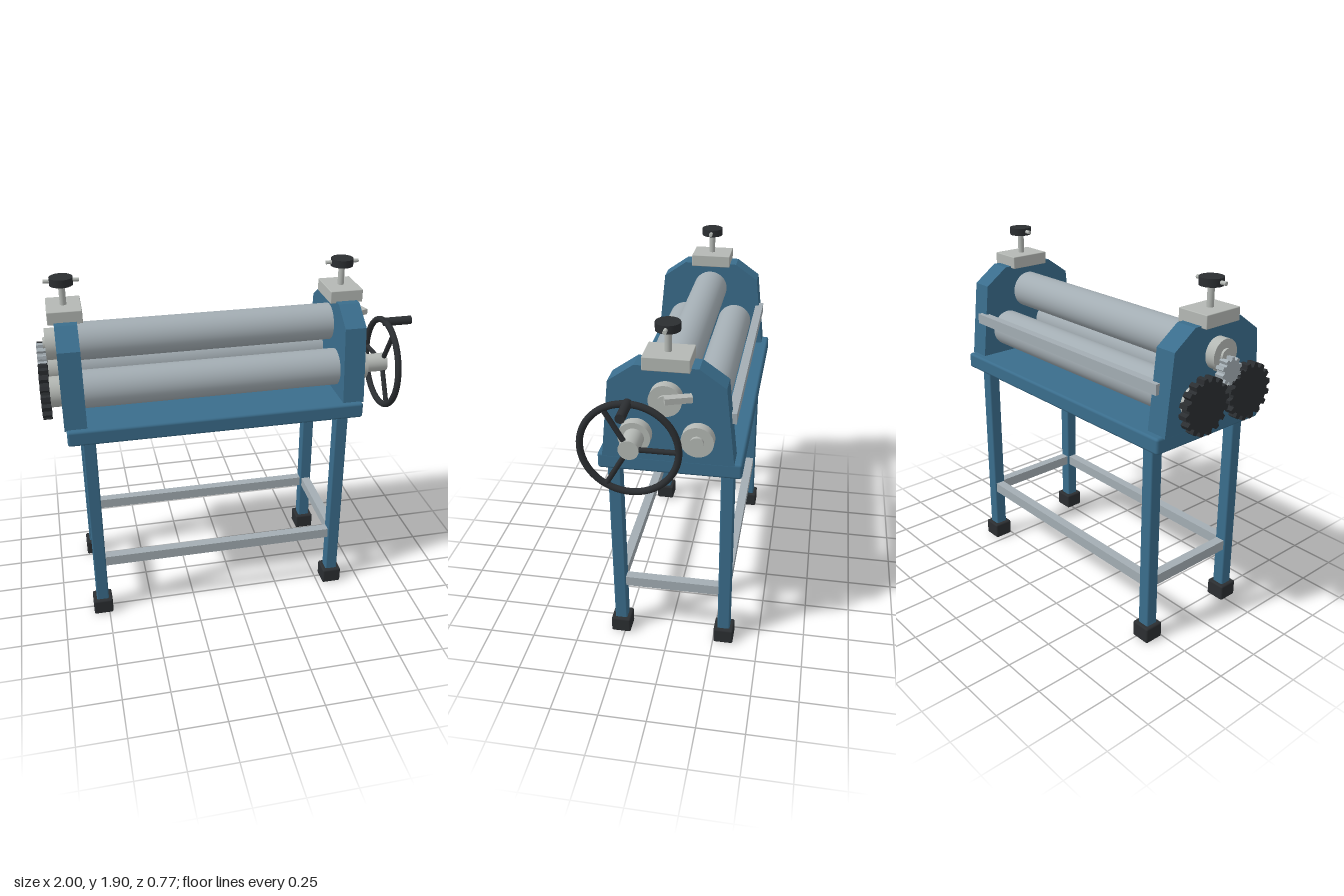
import * as THREE from 'three';
import { RoundedBoxGeometry } from 'three/addons/geometries/RoundedBoxGeometry.js';

const paint = new THREE.MeshStandardMaterial({ color: 0x3a6d8c });
const steel = new THREE.MeshStandardMaterial({ color: 0xa3adb3 });
const bright = new THREE.MeshStandardMaterial({ color: 0xb4b8b4 });
const dark = new THREE.MeshStandardMaterial({ color: 0x2b2e31 });

const MID_X = -0.1, MID_Z = -0.02;

export function createModel() {
  const root = new THREE.Group();
  root.name = 'slipRollMachine';

  const add = (name, geo, mat, x = 0, y = 0, z = 0, parent = root) => {
    const m = new THREE.Mesh(geo, mat);
    m.name = name;
    m.position.set(x, y, z);
    parent.add(m);
    return m;
  };
  const box = (name, mat, w, h, d, x, y, z, r = 0) =>
    add(name, r ? new RoundedBoxGeometry(w, h, d, 2, r) : new THREE.BoxGeometry(w, h, d), mat, x, y, z);
  // Cylinder lying along x from x0 to x1
  const rod = (name, mat, r, x0, x1, y, z, parent = root) =>
    add(name, new THREE.CylinderGeometry(r, r, x1 - x0, 40).rotateZ(Math.PI / 2), mat, (x0 + x1) / 2, y, z, parent);

  // Stand: table, legs, feet and lower braces
  box('table', paint, 1.58, 0.085, 0.72, MID_X, 1.163, -0.025, 0.014);
  const legX = [-0.782, 0.584], legZ = [0.271, -0.308];
  for (const x of legX) {
    for (const z of legZ) {
      box('leg', paint, 0.068, 1.07, 0.068, x, 0.605, z, 0.008);
      box('foot', dark, 0.108, 0.09, 0.108, x, 0.045, z, 0.01);
    }
    box('sideBrace', steel, 0.05, 0.057, legZ[0] - legZ[1] - 0.06, x, 0.345, (legZ[0] + legZ[1]) / 2);
  }
  for (const z of legZ) {
    box('longBrace', steel, legX[1] - legX[0] - 0.06, 0.057, 0.05, (legX[0] + legX[1]) / 2, 0.345, z);
  }

  // End plates: tapered outline drawn in z/y, thickness along x
  const half = [[0.327, 1.2], [0.283, 1.612], [0.154, 1.703]];
  const outline = [...half, ...half.map(([z, y]) => [-z, y]).reverse()];
  const plateShape = new THREE.Shape(outline.map(([z, y]) => new THREE.Vector2(-z, y)));
  const plateGeo = new THREE.ExtrudeGeometry(plateShape, { depth: 0.115, bevelEnabled: false })
    .translate(0, 0, -0.0575).rotateY(Math.PI / 2);

  // Pressure block, screw, knob and cross pin above each plate
  for (const x of [-0.842, 0.641]) {
    add('endPlate', plateGeo, paint, x, 0, MID_Z);
    box('pressureBlock', bright, 0.178, 0.068, 0.227, x, 1.726, MID_Z - 0.003, 0.004);
    add('screw', new THREE.CylinderGeometry(0.017, 0.017, 0.13, 24), bright, x, 1.815, MID_Z);
    add('screwKnob', new THREE.CylinderGeometry(0.06, 0.06, 0.04, 32), dark, x, 1.885, MID_Z);
    rod('knobPin', bright, 0.01, x - 0.09, x + 0.09, 1.886, MID_Z);
  }

  // Three rollers with collars and shaft ends
  const rollers = [
    ['upper', 1.552, -0.02, -0.965, 0.765],
    ['front', 1.346, 0.132, -0.98, 0.872],
    ['back', 1.346, -0.173, -0.98, 0.765],
  ];
  for (const [name, y, z, x0, x1] of rollers) {
    rod(name + 'Roller', steel, 0.1, -0.79, 0.59, y, z);
    rod(name + 'CollarLeft', bright, 0.08, 0.69, 0.75, y, z);
    rod(name + 'CollarRight', bright, 0.08, -0.953, -0.89, y, z);
    rod(name + 'Shaft', bright, name === 'front' ? 0.05 : 0.034, x0, x1, y, z);
  }

  // Roller release lever, angled outwards
  box('releaseLever', bright, 0.042, 0.03, 0.13, 0.773, 1.582, -0.088).rotation.y = 0.34;

  // Stop bar across the back
  box('backBar', steel, 1.46, 0.055, 0.045, MID_X, 1.423, -0.323);

  // Gear train
  const gear = (name, mat, r, depth, teeth, y, z) => {
    const s = new THREE.Shape();
    for (let i = 0; i < teeth; i++) {
      [[0, r - depth], [0.25, r - depth], [0.4, r], [0.8, r], [0.95, r - depth]].forEach(([f, q], k) => {
        const a = ((i + f) / teeth) * Math.PI * 2;
        s[i + k ? 'lineTo' : 'moveTo'](q * Math.cos(a), q * Math.sin(a));
      });
    }
    s.closePath();
    const g = new THREE.ExtrudeGeometry(s, { depth: 0.047, bevelEnabled: false })
      .translate(0, 0, -0.0235).rotateY(Math.PI / 2);
    add(name, g, mat, -0.9765, y, z);
  };
  gear('frontGear', dark, 0.145, 0.022, 16, 1.346, 0.122);
  gear('backGear', dark, 0.145, 0.022, 16, 1.346, -0.175);
  gear('idlerGear', steel, 0.068, 0.015, 10, 1.485, MID_Z);
  rod('idlerShaft', bright, 0.025, -0.96, -0.88, 1.485, MID_Z);

  // Handwheel: rim, three spokes and grip
  const wheel = new THREE.Group();
  wheel.name = 'handwheel';
  wheel.position.set(0.856, 1.346, 0.132);
  root.add(wheel);
  const R = 0.236;
  add('rim', new THREE.TorusGeometry(R, 0.017, 14, 64).rotateY(Math.PI / 2), dark, 0, 0, 0, wheel);
  for (let i = 0; i < 3; i++) {
    const spoke = new THREE.CylinderGeometry(0.013, 0.013, R - 0.04, 14)
      .translate(0, (R + 0.04) / 2, 0).rotateX(-Math.PI / 2 + (i * Math.PI * 2) / 3);
    add('spoke', spoke, dark, 0, 0, 0, wheel);
  }
  rod('grip', dark, 0.023, -0.01, 0.144, R, 0, wheel);

  return root;
}
